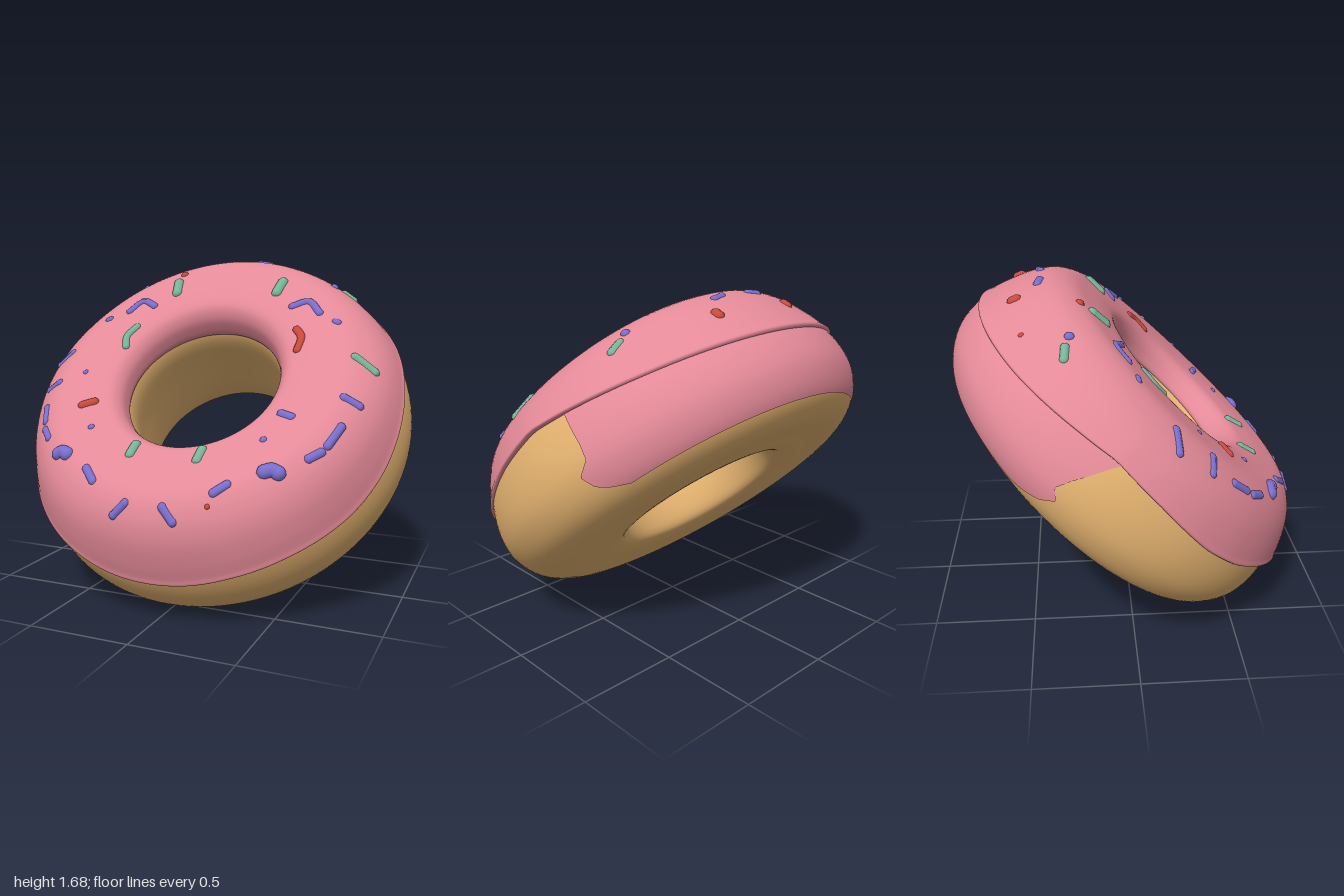
import * as THREE from 'three';
import { mergeVertices, mergeGeometries } from 'three/addons/utils/BufferGeometryUtils.js';

const mat = (name, color) => {
  const m = new THREE.MeshStandardMaterial({ color });
  m.name = name;
  return m;
};
const lerp = THREE.MathUtils.lerp;
const DEG = Math.PI / 180;

// Piecewise linear lookup in a list of [x, y] pairs with rising x
function lookup(table, x) {
  let i = 0;
  while (i < table.length - 2 && x > table[i + 1][0]) i++;
  const [a, b] = [table[i], table[i + 1]];
  return lerp(a[1], b[1], THREE.MathUtils.clamp((x - a[0]) / (b[0] - a[0]), 0, 1));
}

const profile = (pts, closed) =>
  new THREE.CatmullRomCurve3(pts.map(([r, h]) => new THREE.Vector3(r, h, 0)), closed, 'centripetal');

// Swept surface: at(t, s) returns [radius, height, angle], angle 0 being the front
function sweep(at, nt, ns) {
  const pos = [], index = [];
  for (let i = 0; i <= nt; i++) {
    for (let j = 0; j <= ns; j++) {
      const [r, h, a] = at(i / nt, j / ns);
      pos.push(r * Math.sin(a), h, r * Math.cos(a));
      if (i < nt && j < ns) {
        const p = i * (ns + 1) + j, q = p + ns + 1;
        index.push(p, q, p + 1, q, q + 1, p + 1);
      }
    }
  }
  let g = new THREE.BufferGeometry();
  g.setAttribute('position', new THREE.Float32BufferAttribute(pos, 3));
  g.setIndex(index);
  g = mergeVertices(g, 1e-5);
  g.computeVertexNormals();
  return g;
}

export function createModel() {
  const root = new THREE.Group();
  const icingMat = mat('pink icing', 0xe48a98);
  const doughMat = mat('golden dough', 0xe2b16f);
  const violet = mat('violet sprinkle', 0x7a6fd0);
  const green = mat('green sprinkle', 0x76b79a);
  const red = mat('red sprinkle', 0xcc4a3c);

  const ring = new THREE.Group();
  ring.name = 'tiltedRing';
  ring.rotation.x = 43.7 * DEG;
  ring.position.y = 0.83;
  root.add(ring);
  const add = (parent, name, geo, material) => {
    const m = new THREE.Mesh(geo, material);
    m.name = name;
    parent.add(m);
    return m;
  };

  // Dough: flat-bottomed ring with a deep, steep-walled hole
  const doughPts = [
    [0.40, 0], [0.407, 0.22], [0.5, 0.335], [0.7, 0.355], [0.84, 0.3], [0.925, 0.2], [0.975, 0.09],
    [1.0, -0.05], [0.985, -0.165], [0.915, -0.275], [0.8, -0.337], [0.62, -0.338], [0.52, -0.335],
    [0.45, -0.312], [0.412, -0.22],
  ];
  const doughCurve = profile(doughPts, true);
  add(ring, 'dough', sweep((t, s) => {
    const p = doughCurve.getPoint(t % 1);
    return [p.x, p.y, (s % 1) * 2 * Math.PI];
  }, 75, 120), doughMat);

  // Icing stain on the back of the dough, with a ragged edge at each end
  const stainEdge = [[5.5, 63], [7, 62], [7.6, 62.5], [8, 66.5], [8.5, 65], [8.8, 62], [9.1, 57]];
  add(ring, 'backIcingStain', sweep((t, s) => {
    const k = lerp(5.5, 9.1, t);
    const p = doughCurve.getPoint(k / doughPts.length);
    const edge = lookup(stainEdge, k);
    const a = 180 + lerp(-edge, edge + lerp(13, 0, t), s);
    return [0.7 + (p.x - 0.7) * 1.014, p.y * 1.012, a * DEG];
  }, 40, 60), icingMat);

  // Icing cap: its outer rim height varies with how far forward it lies
  const rim = [[-1, 0.03], [-0.755, 0.067], [-0.46, 0.12], [-0.28, 0.148], [0, 0.128],
    [0.33, 0.09], [0.55, 0.085], [0.8, 0.11], [0.93, 0.11], [0.99, 0.095], [1, 0.095]];
  const icingCurve = profile([
    [0.425, 0.22], [0.402, 0.238], [0.404, 0.29], [0.42, 0.345], [0.46, 0.39], [0.54, 0.408], [0.64, 0.412],
    [0.75, 0.405], [0.84, 0.36], [0.91, 0.29], [0.97, 0.19], [1.0, 0.125], [1.012, 0.1], [1.0, 0.09], [0.96, 0.09],
  ], false);
  const icing = add(ring, 'icing', sweep((t, s) => {
    const a = (s % 1) * 2 * Math.PI;
    const side = Math.sin(a) ** 2;
    const { x: r, y } = icingCurve.getPoint(t);
    let h = y;
    if (r > 0.75 && h < 0.36) h = 0.36 - (0.36 - h) * (0.36 - lookup(rim, Math.cos(a))) / 0.26;
    const crest = THREE.MathUtils.clamp((h - 0.24) / 0.16, 0, 1);
    // The crest sinks a little at the sides and towards the front of the hole
    const sink = 0.025 * side + 0.02 * Math.max(0, Math.cos(a)) * THREE.MathUtils.clamp((0.7 - r) / 0.2, 0, 1);
    return [r - 0.027 * side * Math.max(0, (r - 0.75) / 0.26), h - sink * crest, a];
  }, 70, 144), icingMat);

  // Sprinkles: short rods sunk into the icing, placed by casting points from the front or from above
  root.updateMatrixWorld(true);
  const caster = new THREE.Raycaster();
  const land = (u, v, fromTop) => {
    if (fromTop) caster.set(new THREE.Vector3(u, 5, v), new THREE.Vector3(0, -1, 0));
    else caster.set(new THREE.Vector3(u, v, 5), new THREE.Vector3(0, 0, -1));
    const hit = caster.intersectObject(icing)[0];
    return hit && hit.point.addScaledVector(hit.face.normal.clone().transformDirection(ring.matrixWorld), -0.01);
  };
  const sprinkles = new THREE.Group();
  sprinkles.name = 'sprinkles';
  root.add(sprinkles);
  function sprinkle(material, points, fromTop = false, radius = 0.023) {
    const pts = points.map(([u, v]) => land(u, v, fromTop)).filter(Boolean);
    if (!pts.length) return;
    const ball = (p) => new THREE.SphereGeometry(radius, 10, 8).translate(p.x, p.y, p.z);
    const parts = [ball(pts[0])];
    if (pts.length > 1) {
      parts.push(ball(pts[pts.length - 1]));
      parts.push(new THREE.TubeGeometry(new THREE.CatmullRomCurve3(pts), 8, radius, 8));
    }
    add(sprinkles, 'sprinkle', mergeGeometries(parts), material);
  }

  // Laid from the front (x, y)
  const front = [
    [violet, [[-0.53, 1.40], [-0.47, 1.455], [-0.39, 1.43]]],
    [violet, [[0.39, 1.43], [0.47, 1.455], [0.54, 1.40]]],
    [violet, [[-0.645, 1.355], [-0.63, 1.36]], 0.02],
    [violet, [[0.63, 1.36], [0.645, 1.355]], 0.02],
    [violet, [[-0.86, 1.11], [-0.78, 1.18]]],
    [violet, [[-0.83, 0.99], [-0.76, 1.035]]],
    [violet, [[0.76, 1.03], [0.83, 0.99]]],
    [violet, [[-0.775, 0.91], [-0.74, 0.85]]],
    [violet, [[-0.72, 0.815], [-0.67, 0.785]]],
    [violet, [[0.775, 0.91], [0.735, 0.835]]],
    [violet, [[0.715, 0.81], [0.67, 0.785]]],
    [violet, [[0.49, 0.955], [0.545, 0.945]]],
    [violet, [[-0.355, 0.69], [-0.295, 0.645]]],
    [violet, [[0.305, 0.645], [0.355, 0.68]]],
    [violet, [[-0.15, 0.515], [-0.095, 0.575]]],
    [violet, [[0.09, 0.575], [0.145, 0.515]]],
    [red, [[-0.55, 0.94], [-0.495, 0.957]], 0.026],
    [red, [[0.445, 1.32], [0.48, 1.285], [0.475, 1.225]]],
    [red, [[-0.29, 1.60]], 0.024],
    [green, [[-0.445, 1.32], [-0.48, 1.27], [-0.465, 1.22]]],
    [green, [[-0.30, 1.555], [-0.285, 1.50]], 0.03],
    [green, [[0.30, 1.555], [0.285, 1.50]], 0.03],
    [green, [[0.765, 1.20], [0.86, 1.13]], 0.025],
    [violet, [[-0.56, 0.73], [-0.53, 0.742], [-0.5, 0.735]], 0.036],
    [violet, [[0.5, 0.735], [0.53, 0.742], [0.56, 0.73]], 0.036],
    [violet, [[-0.44, 0.85]], 0.02],
    [violet, [[0.45, 0.85]], 0.02],
    [violet, [[-0.625, 1.09]], 0.018],
    [red, [[0.29, 0.59]], 0.016],
  ];
  for (const [m, pts, radius] of front) sprinkle(m, pts, false, radius);

  // Laid from above (x, z), in pairs on both sides
  for (const s of [-1, 1]) {
    sprinkle(violet, [[s * 0.09, -0.415], [s * 0.145, -0.425]], true);
    sprinkle(red, [[s * 0.235, -0.54], [s * 0.235, -0.52]], true, 0.027);
    sprinkle(green, [[s * 0.6, -0.3], [s * 0.65, -0.305]], true);
    sprinkle(violet, [[s * 0.55, -0.28]], true, 0.025);
    sprinkle(green, [[s * 0.17, 0.585], [s * 0.17, 0.645]], true, 0.026);
  }
  sprinkle(red, [[-0.49, -0.49]], true, 0.017);

  return root;
}
